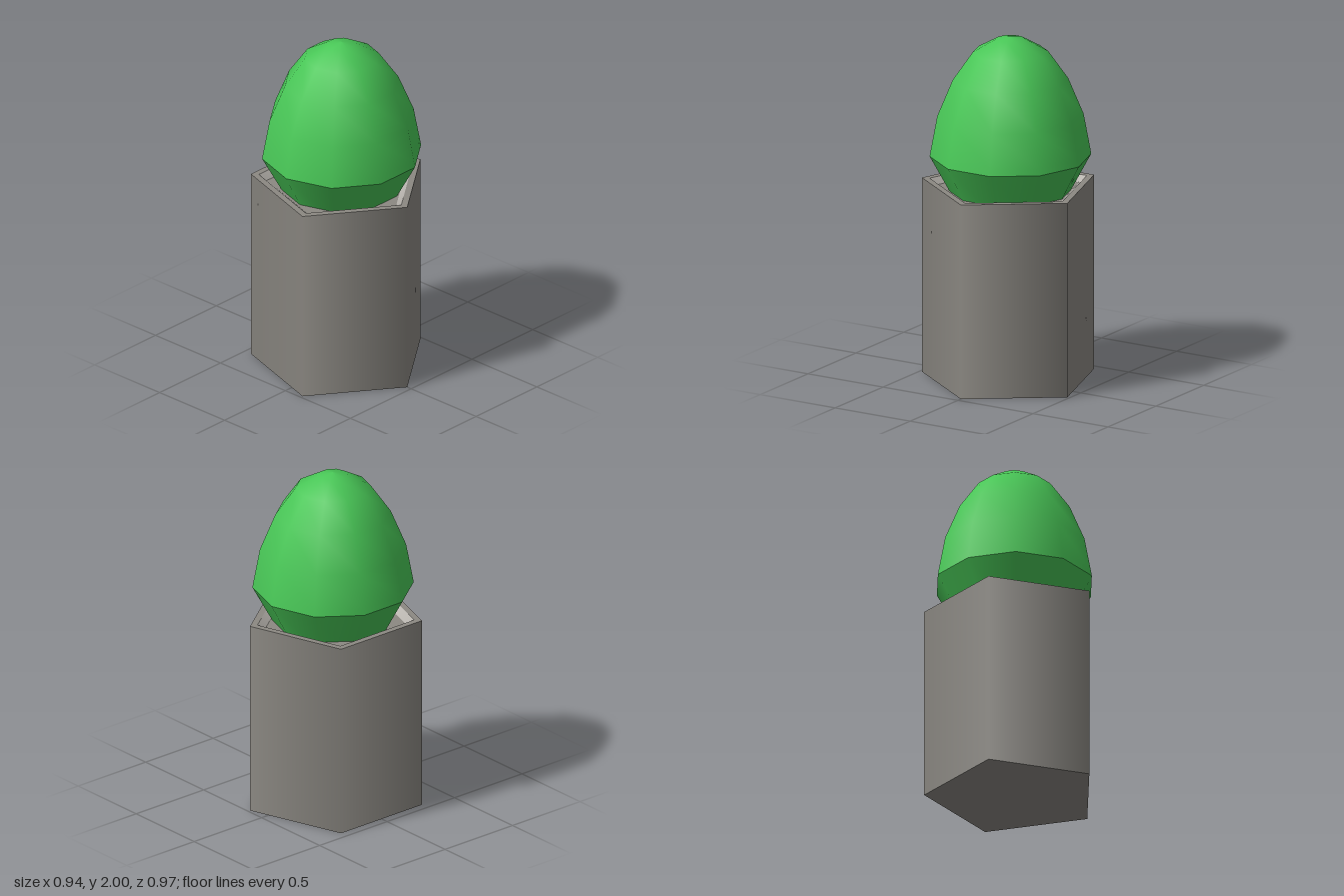
import * as THREE from 'three';

const CX = -0.04; // shared axis of pot and bush

export function createModel() {
  const group = new THREE.Group();
  const mat = (name, color) => {
    const m = new THREE.MeshStandardMaterial({ color });
    m.name = name;
    return m;
  };
  const green = mat('leaf green', 0x48c656);
  const grey = mat('stone grey', 0x8c8983);
  const pale = mat('pale stone', 0xbab6b0);

  // revolve a profile listed from the outside bottom to the inside top
  const turn = (name, profile, sides, start, material, z = 0) => {
    const points = profile.map(([r, y]) => new THREE.Vector2(r, y));
    const mesh = new THREE.Mesh(new THREE.LatheGeometry(points, sides, start), material);
    mesh.name = name;
    mesh.position.set(CX, 0, z);
    group.add(mesh);
  };

  // five-sided pot with a corner pointing to +x
  const corner = Math.PI / 2;
  turn('potWall', [[0.51, 0], [0.51, 1.135]], 5, corner, grey);
  turn('potBase', [[0, 0], [0.51, 0]], 5, corner, grey);
  turn('potRim', [[0.51, 1.135], [0.465, 1.135]], 5, corner, grey);
  turn('potInnerBevel', [[0.465, 1.135], [0.42, 1.1]], 5, corner, pale);
  turn('potFloor', [[0.42, 1.1], [0, 1.1]], 5, corner, grey);

  // ten-sided egg-shaped bush, tapering into the pot
  turn('bushUnderside', [[0, 1.02], [0.3, 1.02]], 10, 0, green, -0.005);
  turn('bushTaper', [[0.3, 1.02], [0.455, 1.305]], 10, 0, green, -0.005);
  turn('bushCrown', [
    [0.455, 1.305], [0.449, 1.34], [0.412, 1.54], [0.325, 1.75],
    [0.212, 1.91], [0.08, 1.985], [0, 2],
  ], 10, 0, green, -0.005);

  return group;
}
